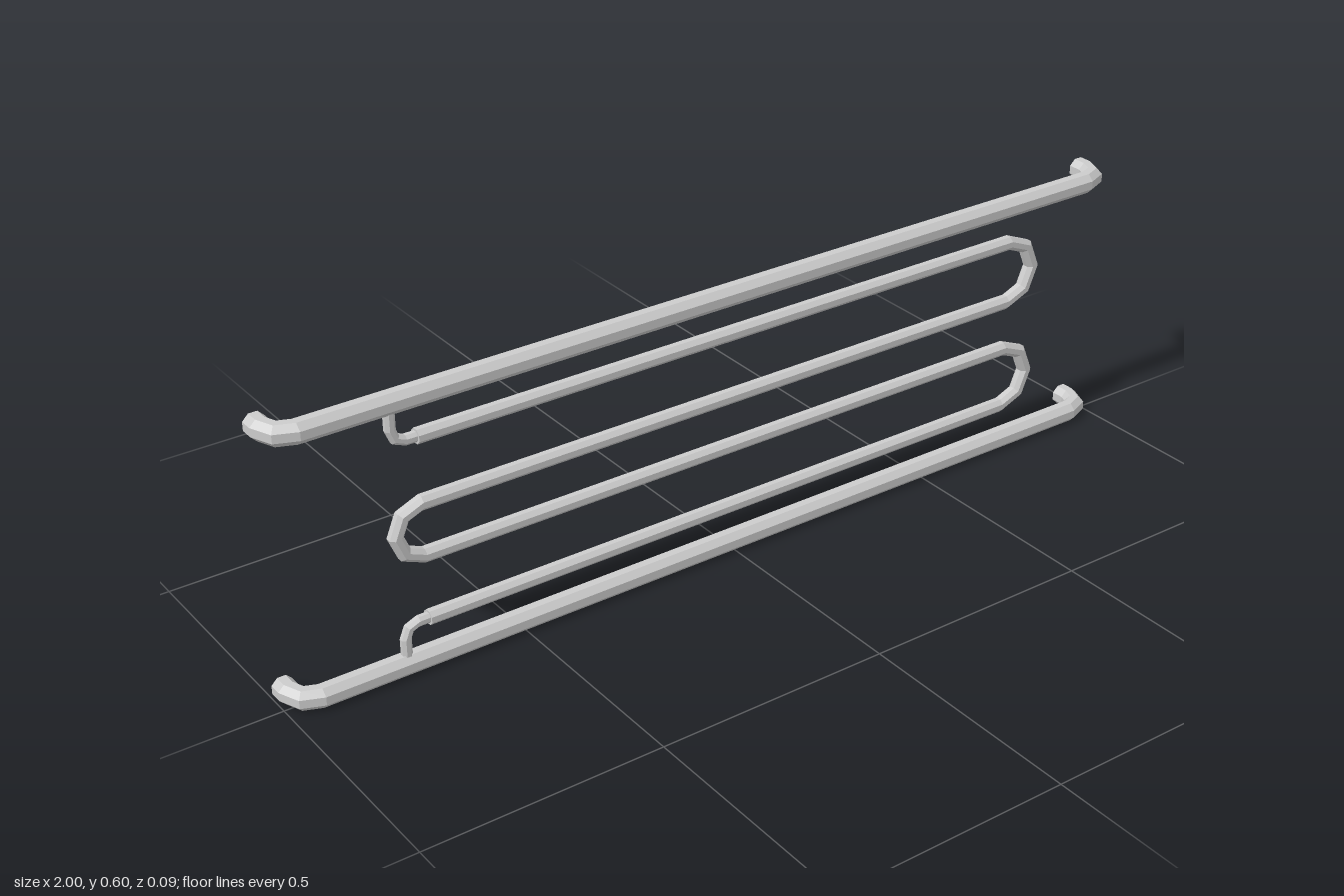
import * as THREE from 'three';

const SIDES = 8;
const PIPE_Z = 0.0262;   // depth of the pipes' centre line
const MID_Y = 0.2985;    // height of the symmetry line

// Stations along an arc: [u, v, normalU, normalV], normal to the right of travel
function arc(cu, cv, r, fromDeg, toDeg, steps) {
  const s = Math.sign(toDeg - fromDeg), out = [];
  for (let i = 0; i <= steps; i++) {
    const a = THREE.MathUtils.degToRad(fromDeg + (toDeg - fromDeg) * i / steps);
    const c = Math.cos(a), n = Math.sin(a);
    out.push([cu + r * c, cv + r * n, s * c, s * n]);
  }
  return out;
}

// Capped octagonal pipe swept through planar stations
function pipe(stations, radius) {
  const pos = [], idx = [];
  for (const [u, v, nu, nv] of stations) {
    for (let j = 0; j < SIDES; j++) {
      const t = (j + 0.5) / SIDES * Math.PI * 2;
      const c = radius * Math.cos(t);
      pos.push(u + c * nu, v + c * nv, radius * Math.sin(t));
    }
  }
  for (let i = 0; i < stations.length - 1; i++) {
    for (let j = 0; j < SIDES; j++) {
      const a = i * SIDES + j, b = i * SIDES + (j + 1) % SIDES;
      idx.push(a, a + SIDES, b, b, a + SIDES, b + SIDES);
    }
  }
  const last = (stations.length - 1) * SIDES;
  for (let j = 1; j < SIDES - 1; j++) {
    idx.push(0, j, j + 1, last, last + j + 1, last + j);
  }
  const g = new THREE.BufferGeometry();
  g.setAttribute('position', new THREE.Float32BufferAttribute(pos, 3));
  g.setIndex(idx);
  g.computeVertexNormals();
  return g;
}

export function createModel() {
  const group = new THREE.Group();
  const material = new THREE.MeshStandardMaterial({ color: 0xcccccc, flatShading: true });
  const add = (name, geometry, y = 0, z = 0) => {
    const mesh = new THREE.Mesh(geometry, material);
    mesh.name = name;
    mesh.position.set(0, y, z);
    group.add(mesh);
  };

  // Two long rails whose ends turn back toward the wall
  const endX = 0.9785, frontZ = 0.0255, bend = 0.043, backZ = -0.045;
  const rail = pipe([
    [-endX, backZ, 1, 0],
    ...arc(-endX + bend, frontZ - bend, bend, 180, 90, 2),
    ...arc(endX - bend, frontZ - bend, bend, 90, 0, 2),
    [endX, backZ, -1, 0],
  ], 0.0233).rotateX(Math.PI / 2);
  add('lowerRail', rail, 0.0215);
  add('upperRail', rail, 0.5755);

  // Serpentine heating pipe
  const outerY = 0.1935, turn = 0.069, leftTurn = outerY - 2 * turn;
  const leftX = -0.705, rightX = 0.72;
  add('serpentinePipe', pipe([
    [leftX, MID_Y + outerY, 0, -1],
    ...arc(rightX, MID_Y + outerY - turn, turn, 90, -90, 4),
    ...arc(leftX, MID_Y, leftTurn, 90, 270, 4),
    ...arc(rightX, MID_Y - outerY + turn, turn, 90, -90, 4),
    [leftX, MID_Y - outerY, 0, 1],
  ], 0.016), 0, PIPE_Z);

  // Thin elbows joining the serpentine to the rails
  const stemX = -0.755, elbow = 0.028;
  add('upperConnector', pipe([
    [stemX, 0.5755, -1, 0],
    ...arc(stemX + elbow, MID_Y + outerY + elbow, elbow, 180, 270, 2),
    [leftX + 0.01, MID_Y + outerY, 0, -1],
  ], 0.0113), 0, PIPE_Z);
  add('lowerConnector', pipe([
    [leftX + 0.01, MID_Y - outerY, 0, 1],
    ...arc(stemX + elbow, MID_Y - outerY - elbow, elbow, 90, 180, 2),
    [stemX, 0.0215, -1, 0],
  ], 0.0113), 0, PIPE_Z);

  return group;
}
